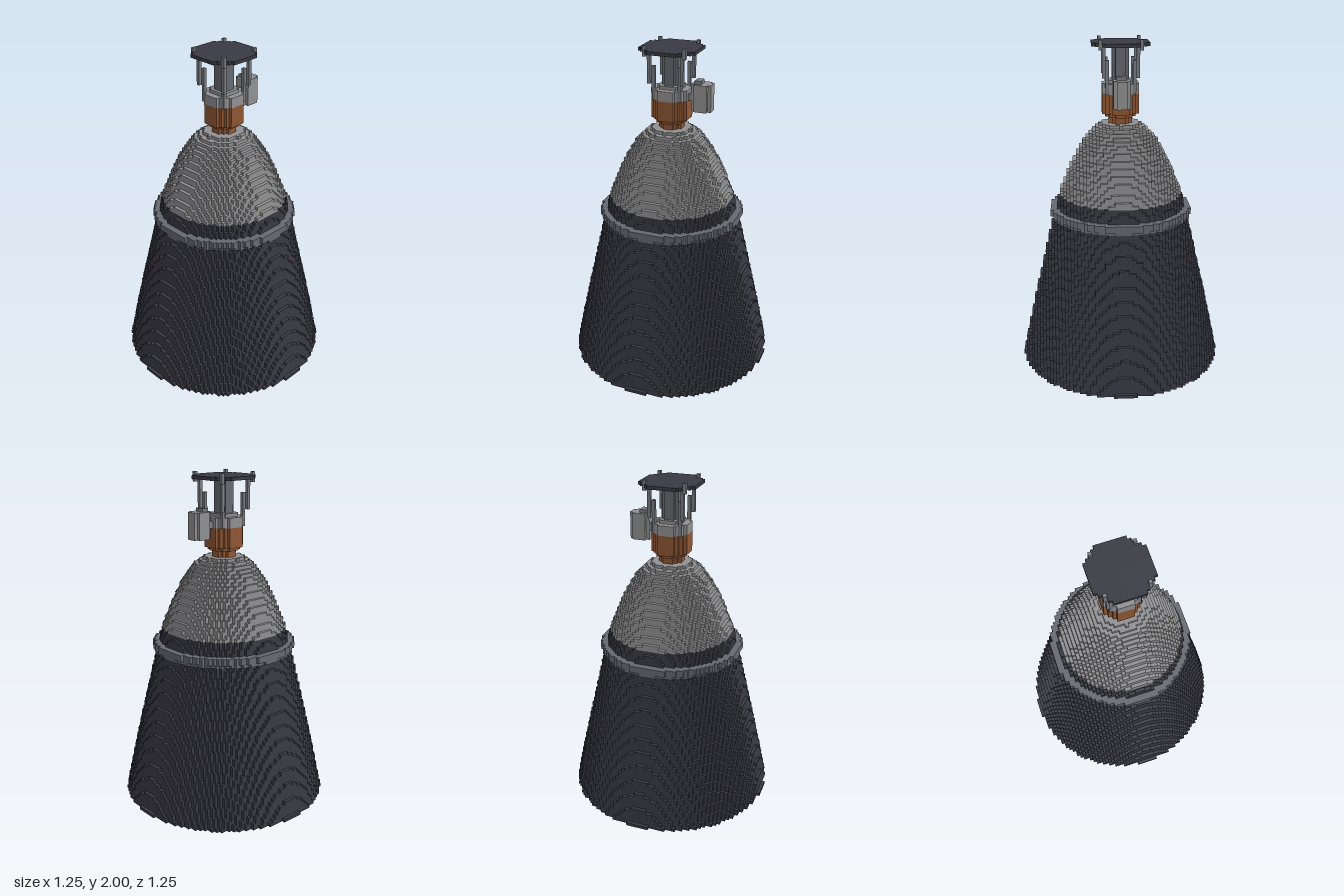
import * as THREE from 'three';

const V = 2 / 101; // edge length of one cube

const mat = (name, color) => {
  const m = new THREE.MeshStandardMaterial({ color });
  m.name = name;
  return m;
};

// Outer bell profile: [height, radius]
const PROFILE = [[0, 0.624], [0.2, 0.582], [0.4, 0.537], [0.6, 0.49], [0.8, 0.443], [0.93, 0.41],
  [1.07, 0.375], [1.2, 0.325], [1.3, 0.28], [1.4, 0.222], [1.46, 0.172], [1.51, 0.105]];

function bellRadius(y) {
  let n = 1;
  while (n < PROFILE.length - 1 && PROFILE[n][0] < y) n++;
  const [y0, r0] = PROFILE[n - 1], [y1, r1] = PROFILE[n];
  return r0 + (r1 - r0) * (y - y0) / (y1 - y0);
}

// Surface of one part's cubes: exposed faces only, joined into strips
function cubeSurface(cells, part) {
  const pos = [], nor = [], idx = [];
  const key = (c) => c.join();
  const add = (c, axis, n) => { const d = [...c]; d[axis] += n; return d; };
  for (let a = 0; a < 3; a++) {
    const run = a === 1 ? 0 : 1, other = 3 - a - run;
    for (const s of [-1, 1]) {
      const exposed = (c) => cells.get(key(c)) === part && !cells.has(key(add(c, a, s)));
      for (const [k, p] of cells) {
        if (p !== part) continue;
        const c = k.split(',').map(Number);
        if (!exposed(c) || exposed(add(c, run, -1))) continue;
        let len = 1;
        while (exposed(add(c, run, len))) len++;
        const base = pos.length / 3;
        for (const [u, w] of [[0, 0], [1, 0], [1, 1], [0, 1]]) {
          const q = [c[0] - 0.5, c[1], c[2] - 0.5], n = [0, 0, 0];
          if (s > 0) q[a] += 1;
          q[run] += u * len;
          q[other] += w;
          n[a] = s;
          pos.push(...q.map((t) => t * V));
          nor.push(...n);
        }
        // keep the corners counter-clockwise seen from outside
        const cyclic = (run + 1) % 3 === other;
        if (cyclic === (s > 0)) idx.push(base, base + 1, base + 2, base, base + 2, base + 3);
        else idx.push(base, base + 2, base + 1, base, base + 3, base + 2);
      }
    }
  }
  const g = new THREE.BufferGeometry();
  g.setAttribute('position', new THREE.Float32BufferAttribute(pos, 3));
  g.setAttribute('normal', new THREE.Float32BufferAttribute(nor, 3));
  g.setIndex(idx);
  return g;
}

export function createModel() {
  const dark = mat('charcoal', 0x3a3a44), metal = mat('light grey metal', 0x919193);
  const ringGrey = mat('slate grey', 0x666970), steel = mat('steel grey', 0x7b7d83);
  const copper = mat('copper', 0x8f5633), navy = mat('deep navy', 0x0a0a28);

  const parts = {
    nozzleSkirt: dark, nozzleLining: navy, stiffenerRing: ringGrey, chamberDome: metal,
    copperInjector: copper, injectorCollar: metal, centralColumn: ringGrey, mountStruts: steel,
    mountPlate: dark, sideTank: metal, sideTankCap: steel, tankBracket: steel,
  };
  const cells = new Map();
  const put = (part, i, j, k) => cells.set(`${i},${j},${k}`, part);
  const box = (part, i0, i1, j0, j1, k0, k1) => {
    for (let i = i0; i <= i1; i++) for (let j = j0; j <= j1; j++) for (let k = k0; k <= k1; k++) put(part, i, j, k);
  };
  const disc = (part, j0, j1, r, inner = -1, cap = 99) => {
    const n = Math.min(Math.ceil(r), cap);
    for (let j = j0; j <= j1; j++) for (let i = -n; i <= n; i++) for (let k = -n; k <= n; k++) {
      const d = Math.hypot(i, k);
      if (d <= r && d > inner) put(part, i, j, k);
    }
  };

  // Hollow bell: dark skirt below, light dome above, navy lining inside
  for (let j = 0; j <= 75; j++) {
    const r = bellRadius((j + 0.5) * V) / V - 0.25;
    const wall = j > 66 ? 4 : 2;
    disc(j <= 53 ? 'nozzleSkirt' : 'chamberDome', j, j, r, j >= 72 ? -1 : r - wall);
    if (j > 0 && j < 72) disc('nozzleLining', j, j, r - wall, r - wall - (j > 60 ? 2 : 1.2));
  }

  // Stiffener ring around the bell
  [[47, 21.2], [48, 21.6], [49, 21.6]].forEach(([j, r]) =>
    disc('stiffenerRing', j, j, r, bellRadius((j + 0.5) * V) / V - 0.5));

  // Injector stack
  disc('copperInjector', 76, 77, 3.4);
  disc('copperInjector', 78, 78, 4.4);
  disc('copperInjector', 79, 84, 5.4);
  disc('injectorCollar', 85, 87, 5.4);
  disc('injectorCollar', 88, 88, 3.7);
  disc('centralColumn', 89, 98, 2.4);
  disc('mountPlate', 99, 99, 9.0, -1, 8);

  // Four leaning struts, mirrored in x and z
  for (const sx of [-1, 1]) for (const sz of [-1, 1]) {
    const strut = (lo, hi, j0, j1) => {
      for (let i = lo; i <= hi; i++) for (let k = lo; k <= hi; k++)
        for (let j = j0; j <= j1; j++) put('mountStruts', sx * i, j, sz * k);
    };
    strut(4, 4, 85, 94);
    strut(5, 5, 90, 98);
    strut(6, 6, 98, 100);
  }

  // Side tank with chamfered corners, cap and bracket
  box('sideTank', 7, 12, 82, 89, -1, 1);
  box('sideTank', 8, 11, 82, 89, -2, 2);
  box('sideTankCap', 8, 9, 90, 90, -1, 1);
  box('tankBracket', 5, 6, 85, 86, -1, 1);

  const model = new THREE.Group();
  model.name = 'rocketEngine';
  for (const [part, material] of Object.entries(parts)) {
    const mesh = new THREE.Mesh(cubeSurface(cells, part), material);
    mesh.name = part;
    model.add(mesh);
  }
  return model;
}
